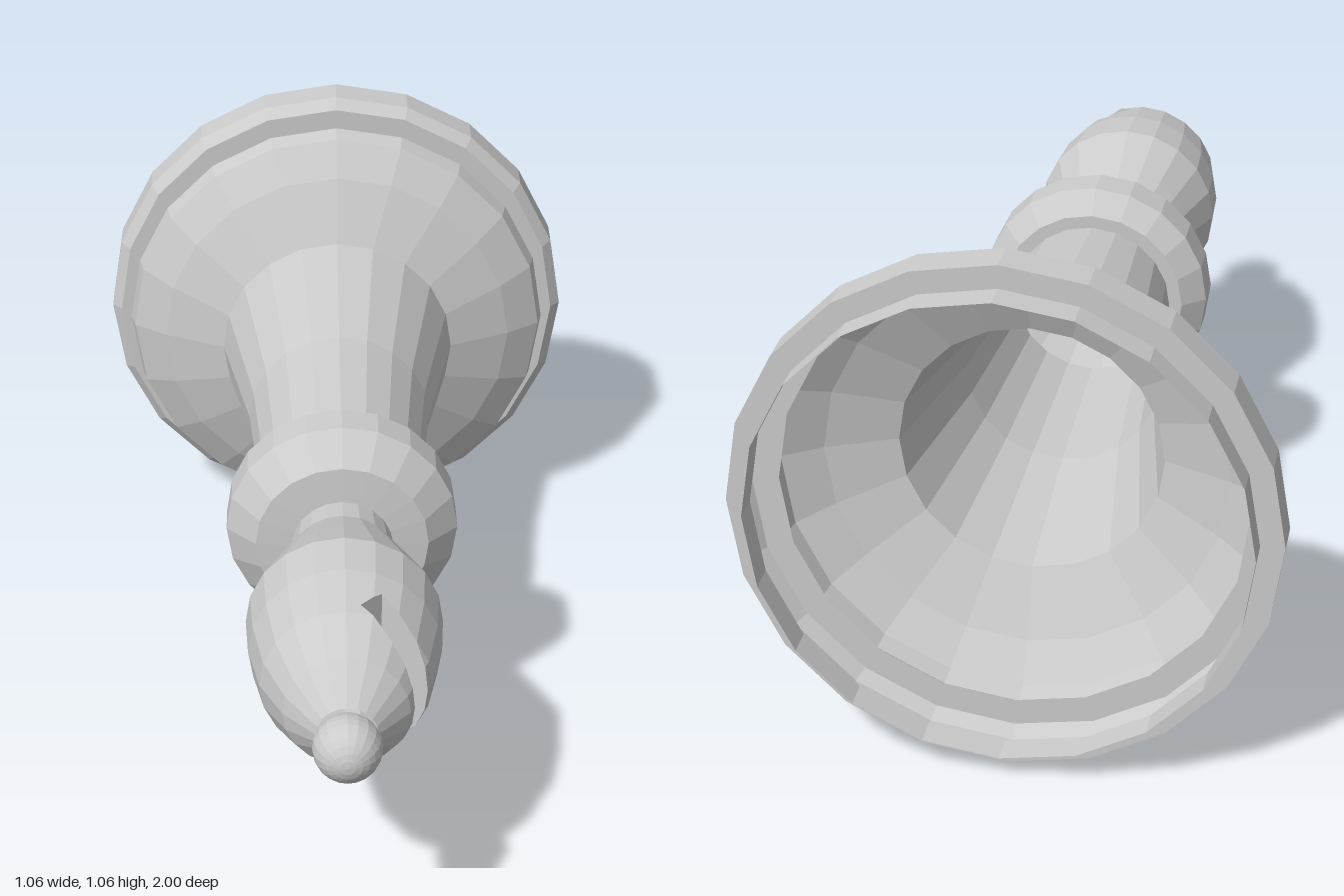
import * as THREE from 'three';

const SIDES = 20;
const AXIS_Y = 0.532;
const material = new THREE.MeshStandardMaterial({ color: 0xcccccc, flatShading: true, side: THREE.DoubleSide });

// Profiles run from the foot to the tip as [radius, z]
const BASE = [[0.485, -1], [0.485, -0.94], [0.532, -0.94], [0.532, -0.865], [0.51, -0.842],
  [0.455, -0.842], [0.484, -0.8], [0.474, -0.76], [0.4, -0.71], [0.264, -0.65]];
const STEM = [[0.264, -0.65], [0.2, -0.32], [0.168, 0.035]];
const COLLAR = [[0.168, 0.035], [0.195, 0.035], [0.242, 0.075], [0.242, 0.15], [0.18, 0.213], [0.105, 0.22]];
const HEAD = [[0.105, 0.22], [0.112, 0.285], [0.155, 0.395], [0.197, 0.505], [0.191, 0.61],
  [0.168, 0.725], [0.123, 0.82], [0.06, 0.89]];

// Surface of revolution about the z axis
function turned(profile) {
  const points = profile.map(([r, z]) => new THREE.Vector2(r, z));
  return new THREE.LatheGeometry(points, SIDES).rotateX(Math.PI / 2);
}

function addPart(group, name, geometry) {
  const mesh = new THREE.Mesh(geometry, material);
  mesh.name = name;
  mesh.position.y = AXIS_Y;
  group.add(mesh);
}

// Part of a convex polygon where the plane distance is positive
function clip(poly, plane) {
  const out = [];
  poly.forEach((a, i) => {
    const b = poly[(i + 1) % poly.length];
    const da = plane.distanceToPoint(a), db = plane.distanceToPoint(b);
    if (da >= 0) out.push(a);
    if (da * db < 0) out.push(a.clone().lerp(b, da / (da - db)));
  });
  return out;
}

// Head with a diagonal slot: the skin is clipped, then the slot walls are filled
function slottedHead() {
  const s = Math.SQRT1_2;
  const lower = new THREE.Plane(new THREE.Vector3(-s, 0, s), -0.417);
  const upper = new THREE.Plane(new THREE.Vector3(s, 0, -s), 0.476);
  const floor = new THREE.Plane(new THREE.Vector3(s, 0, s), -0.516);
  const planes = [lower, upper, floor];
  const positions = [];
  const fan = (poly) => {
    for (let i = 1; i < poly.length - 1; i++) {
      for (const p of [poly[0], poly[i], poly[i + 1]]) positions.push(p.x, p.y, p.z);
    }
  };

  const skin = turned(HEAD).toNonIndexed().attributes.position;
  const rims = planes.map(() => []);
  for (let i = 0; i < skin.count; i += 3) {
    let inside = [0, 1, 2].map((k) => new THREE.Vector3().fromBufferAttribute(skin, i + k));
    for (const plane of planes) {
      fan(clip(inside, plane.clone().negate()));
      inside = clip(inside, plane);
    }
    for (const p of inside) {
      planes.forEach((plane, k) => {
        if (Math.abs(plane.distanceToPoint(p)) < 1e-6) rims[k].push(p);
      });
    }
  }

  // Each wall is convex, so its rim points are sorted around their centre
  planes.forEach((plane, k) => {
    const rim = rims[k];
    if (rim.length < 3) return;
    const centre = rim.reduce((sum, p) => sum.add(p), new THREE.Vector3()).divideScalar(rim.length);
    const up = new THREE.Vector3(0, 1, 0);
    const across = up.clone().cross(plane.normal);
    const angle = (p) => {
      const d = p.clone().sub(centre);
      return Math.atan2(d.dot(across), d.dot(up));
    };
    rim.sort((a, b) => angle(b) - angle(a));
    fan(rim);
  });

  const geometry = new THREE.BufferGeometry();
  geometry.setAttribute('position', new THREE.Float32BufferAttribute(positions, 3));
  geometry.computeVertexNormals();
  return geometry;
}

export function createModel() {
  const group = new THREE.Group();
  group.name = 'bishopPiece';

  // Hollow foot, stem and collar
  addPart(group, 'base', turned(BASE));
  addPart(group, 'stem', turned(STEM));
  addPart(group, 'collar', turned(COLLAR));

  // Head with its slot and the ball on the tip
  addPart(group, 'head', slottedHead());
  const ball = new THREE.SphereGeometry(0.067, SIDES, 14).rotateX(Math.PI / 2).translate(0, 0, 0.933);
  addPart(group, 'tipBall', ball);

  return group;
}
